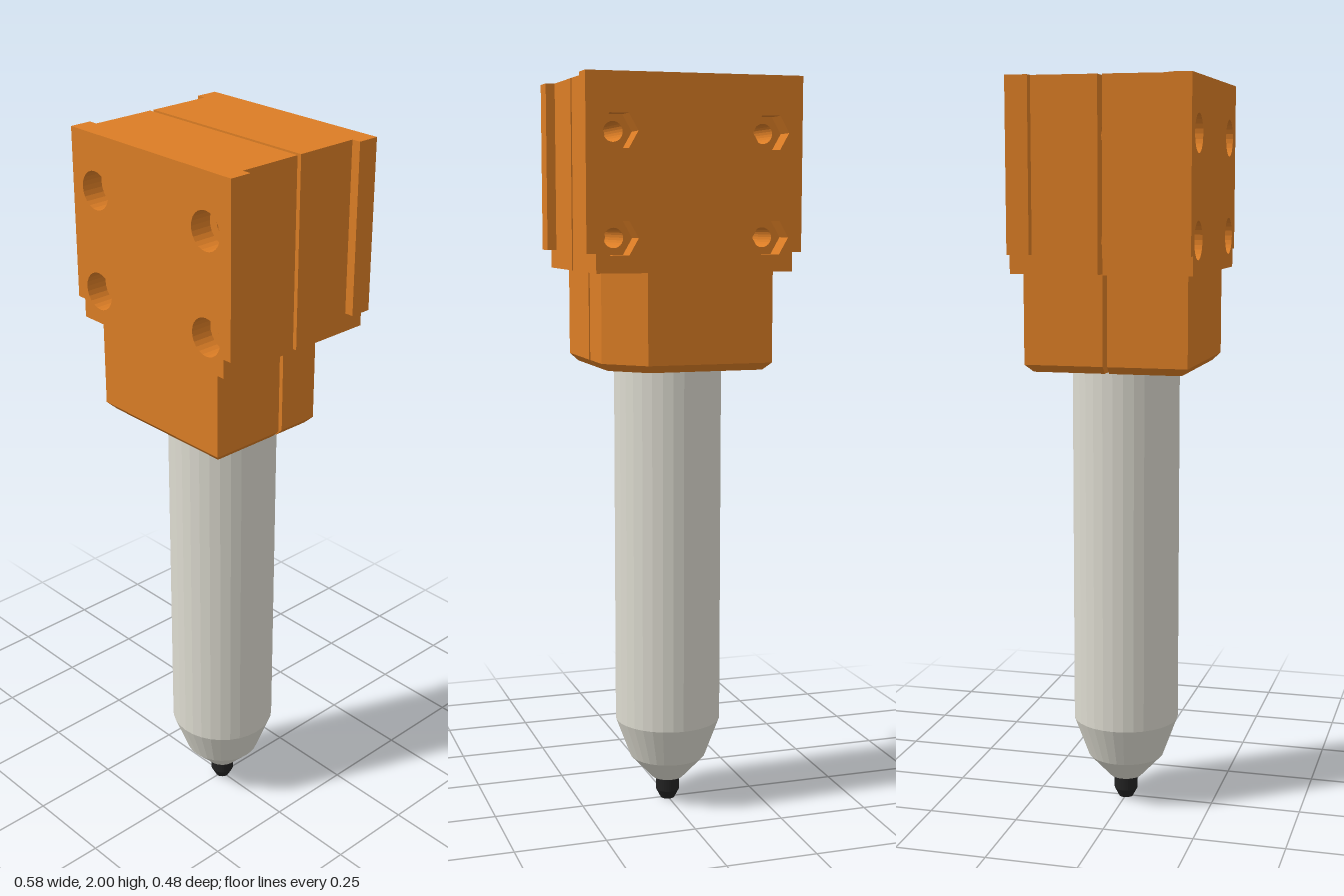
import * as THREE from 'three';

const orange = new THREE.MeshStandardMaterial({ color: 0xdb7d25 });
orange.name = 'orange';
const paleGrey = new THREE.MeshStandardMaterial({ color: 0xdddbd0 });
paleGrey.name = 'paleGrey';
const black = new THREE.MeshStandardMaterial({ color: 0x222222 });
black.name = 'black';

const GAP = 0.006; // half of the slot between the clamp halves
const BORE = 0.165; // recess around the tube
const vec = (pairs) => pairs.map(([x, y]) => new THREE.Vector2(x, y));

function part(name, geometry, material) {
  const mesh = new THREE.Mesh(geometry, material);
  mesh.name = name;
  return mesh;
}

// Turned part with visible facets
function turned(name, profile, material) {
  const geometry = new THREE.LatheGeometry(vec(profile), 32).toNonIndexed();
  geometry.computeVertexNormals();
  return part(name, geometry, material);
}

// Upright plate with four bolt holes; sides = 6 gives hexagonal nut pockets
function plate(name, outline, z, depth, radius, sides) {
  const shape = new THREE.Shape(vec(outline));
  for (const x of [-0.203, 0.203]) {
    for (const y of [1.588, 1.855]) {
      const ring = [];
      for (let i = 0; i < sides; i++) {
        const a = (i / sides) * Math.PI * 2;
        ring.push([x + radius * Math.cos(a), y + radius * Math.sin(a)]);
      }
      shape.holes.push(new THREE.Path(vec(ring)));
    }
  }
  const geometry = new THREE.ExtrudeGeometry(shape, { depth, bevelEnabled: false });
  return part(name, geometry.translate(0, 0, z), orange);
}

// Upper half block: inner body plus wider outer flange
function blockHalf(name, pocketSides) {
  const half = new THREE.Group();
  half.name = name;
  const body = [[-0.265, 1.5], [0.265, 1.5], [0.265, 2], [-0.265, 2]];
  const flange = [
    [-0.265, 1.5], [0.265, 1.5], [0.265, 1.55], [0.29, 1.55],
    [0.29, 2], [-0.29, 2], [-0.29, 1.55], [-0.265, 1.55],
  ];
  half.add(plate('blockBody', body, GAP, 0.182 - GAP, 0.026, 24));
  half.add(plate('blockFlange', flange, 0.182, 0.06, 0.05, pocketSides));
  return half;
}

// Lower half collar around the tube; side is +1 front, -1 back
function collarHalf(name, side) {
  const half = new THREE.Group();
  half.name = name;
  const w = 0.22;
  const outer = side > 0
    ? [[w, GAP], [w, w], [-w, w], [-w, GAP]]
    : [[w, -GAP], [w, -0.122], [0.122, -w], [-w, -w], [-w, -GAP]];
  const start = Math.asin(GAP / BORE);
  const notch = [];
  for (let i = 0; i <= 16; i++) {
    const a = Math.PI - start - (i / 16) * (Math.PI - 2 * start);
    notch.push([BORE * Math.cos(a), side * BORE * Math.sin(a)]);
  }
  const shape = new THREE.Shape(vec([...outer, ...notch]));
  const slab = (top, depth) =>
    new THREE.ExtrudeGeometry(shape, { depth, bevelEnabled: false })
      .rotateX(Math.PI / 2).translate(0, top, 0);

  // Bottom edge chamfer: pull the outer corners in
  const lip = slab(1.26, 0.02);
  const p = lip.attributes.position;
  for (let i = 0; i < p.count; i++) {
    const x = p.getX(i), z = p.getZ(i);
    if (p.getY(i) < 1.25 && Math.hypot(x, z) > BORE + 0.01) {
      p.setX(i, x * 0.91);
      if (Math.abs(z) > 0.05) p.setZ(i, z * 0.91);
    }
  }
  lip.computeVertexNormals();
  half.add(part('collarBody', slab(1.5, 0.24), orange), part('collarChamfer', lip, orange));
  return half;
}

export function createModel() {
  const model = new THREE.Group();
  model.name = 'clampedProbe';

  // Clamp: round bolt pockets in front, hexagonal nut pockets behind
  const back = blockHalf('backBlock', 6);
  back.rotation.y = Math.PI;
  model.add(blockHalf('frontBlock', 24), back);
  model.add(collarHalf('frontCollar', 1), collarHalf('backCollar', -1));

  // Tube with tapered nose and a wider part gripped by the clamp
  model.add(turned('tube', [
    [0, 0.065], [0.045, 0.065], [0.106, 0.13], [0.147, 0.24], [0.147, 1.3],
    [0.156, 1.3], [0.156, 1.95], [0, 1.95],
  ], paleGrey));

  // Tip
  model.add(turned('tip', [
    [0, 0], [0.02, 0], [0.033, 0.025], [0.033, 0.07], [0, 0.07],
  ], black));

  return model;
}
